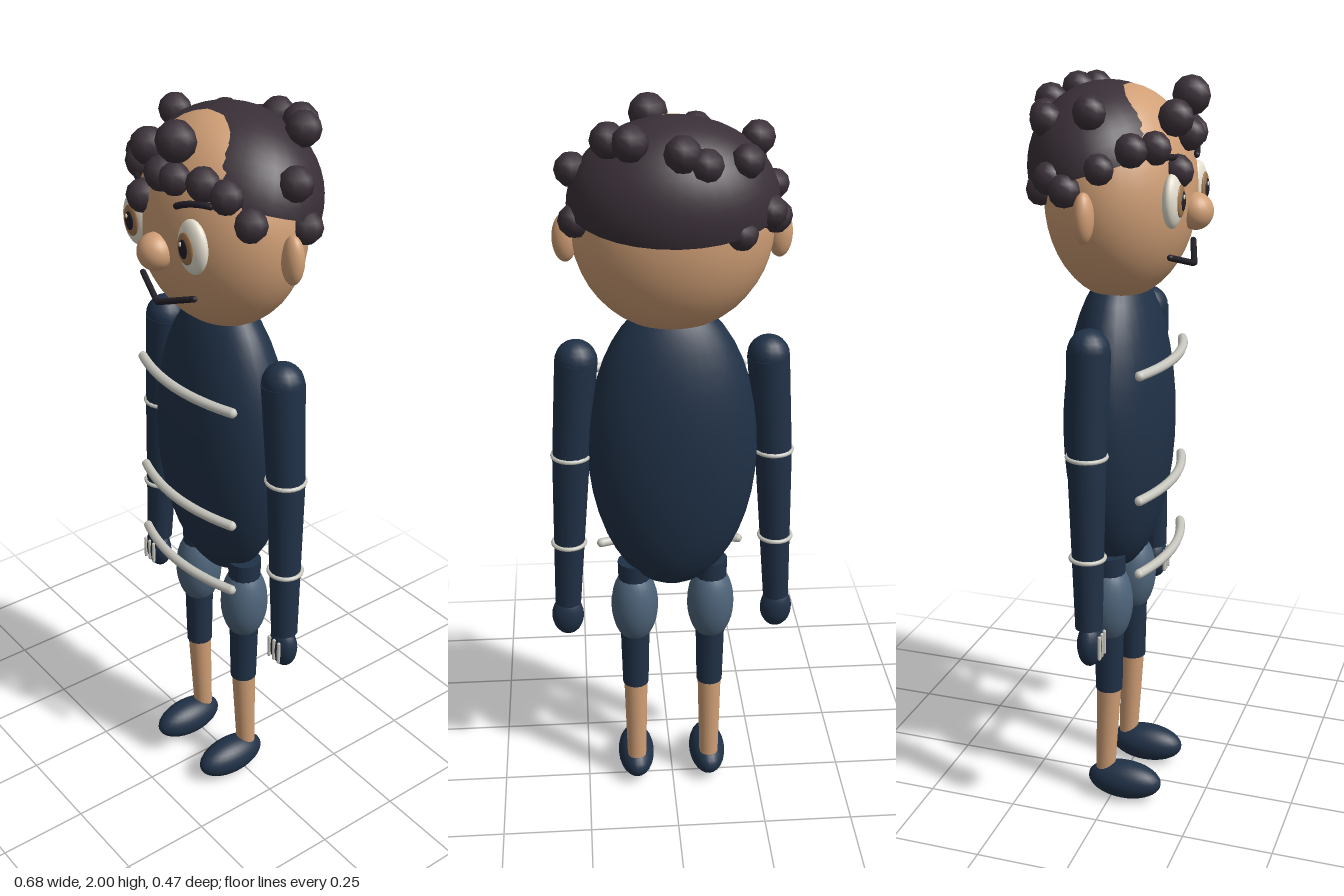
import * as THREE from 'three';

const material = (name, color) => Object.assign(new THREE.MeshStandardMaterial({ color }), { name });
const V = (x, y, z) => new THREE.Vector3(x, y, z);

export function createModel() {
  const root = new THREE.Group();
  root.name = 'curlyHairedFigure';

  const skin = material('skin', 0xd09f76);
  const navy = material('navy cloth', 0x203147);
  const denim = material('blue shorts', 0x4e647a);
  const hair = material('dark hair', 0x3a3038);
  const white = material('pale stripe', 0xc9c8c0);
  const eyeWhite = material('eye white', 0xe6e0d0);
  const iris = material('brown iris', 0xa0764e);
  const dark = material('dark line', 0x231f28);
  hair.side = THREE.DoubleSide;

  const add = (name, geometry, mat, parent = root) => {
    const mesh = new THREE.Mesh(geometry, mat);
    mesh.name = name;
    parent.add(mesh);
    return mesh;
  };
  const ball = (name, mat, [x, y, z], [rx, ry, rz], ws = 24, hs = 16) => {
    const mesh = add(name, new THREE.SphereGeometry(1, ws, hs), mat);
    mesh.scale.set(rx, ry, rz);
    mesh.position.set(x, y, z);
    return mesh;
  };
  // Tapered limb running from a to b
  const limb = (name, mat, a, b, ra, rb) => {
    const mesh = add(name, new THREE.CylinderGeometry(rb, ra, a.distanceTo(b), 16), mat);
    mesh.position.copy(a).lerp(b, 0.5);
    mesh.quaternion.setFromUnitVectors(V(0, 1, 0), b.clone().sub(a).normalize());
    return mesh;
  };
  // Straight-segment or curved cord with rounded ends
  const cord = (name, mat, curve, r) => {
    add(name, new THREE.TubeGeometry(curve, 20, r, 8), mat);
    for (const t of [0, 1]) ball(name + 'End', mat, curve.getPoint(t).toArray(), [r, r, r], 8, 6);
  };

  // Torso and the three curved chest stripes
  ball('torso', navy, [0, 1.1, -0.01], [0.227, 0.42, 0.14], 32, 20);
  for (const y of [1.285, 0.95, 0.745]) {
    cord('chestStripe', white, new THREE.QuadraticBezierCurve3(
      V(-0.195, y, 0.105), V(0, y, 0.175), V(0.195, y, 0.105)), 0.013);
  }

  // Head, nose and mouth
  ball('head', skin, [0, 1.708, -0.005], [0.255, 0.27, 0.19], 32, 22);
  ball('nose', skin, [0, 1.67, 0.19], [0.047, 0.047, 0.045]);
  const mouth = new THREE.CurvePath();
  mouth.add(new THREE.LineCurve3(V(-0.108, 1.57, 0.155), V(0, 1.537, 0.188)));
  mouth.add(new THREE.LineCurve3(V(0, 1.537, 0.188), V(0.108, 1.575, 0.155)));
  cord('mouth', dark, mouth, 0.008);

  for (const s of [-1, 1]) {
    // Ears, eyes and brows
    ball('ear', skin, [s * 0.268, 1.685, -0.015], [0.032, 0.062, 0.026]);
    ball('eyeWhite', eyeWhite, [s * 0.115, 1.712, 0.162], [0.052, 0.068, 0.024]);
    ball('iris', iris, [s * 0.113, 1.712, 0.182], [0.03, 0.04, 0.008]);
    ball('pupil', dark, [s * 0.112, 1.712, 0.188], [0.017, 0.024, 0.005]);
    ball('eyeGlint', eyeWhite, [s * 0.112 - 0.006, 1.723, 0.192], [0.005, 0.006, 0.003], 8, 6);
    cord('brow', dark, new THREE.QuadraticBezierCurve3(
      V(s * 0.065, 1.8, 0.172), V(s * 0.11, 1.822, 0.165), V(s * 0.155, 1.818, 0.14)), 0.008);

    // Arms
    const shoulder = V(s * 0.25, 1.355, -0.01);
    const elbow = V(s * 0.272, 1.07, -0.01);
    const wrist = V(s * 0.294, 0.62, 0);
    ball('shoulder', navy, shoulder.toArray(), [0.056, 0.056, 0.054], 16, 12);
    limb('upperArm', navy, shoulder, elbow, 0.056, 0.05);
    ball('elbow', navy, elbow.toArray(), [0.05, 0.05, 0.05], 16, 12);
    limb('forearm', navy, elbow, wrist, 0.05, 0.036);

    // Sleeve rings
    for (const [x, y, z, r] of [[0.271, 1.085, -0.01, 0.05], [0.285, 0.815, -0.005, 0.044]]) {
      const ring = add('sleeveRing', new THREE.TorusGeometry(r, 0.006, 8, 24), white);
      ring.rotation.x = Math.PI / 2;
      ring.position.set(s * x, y, z);
    }

    // Hands with pale finger lines
    ball('hand', navy, [s * 0.296, 0.575, 0.004], [0.045, 0.062, 0.034], 16, 12);
    for (const x of [0.276, 0.296, 0.316]) {
      cord('fingerLine', white, new THREE.LineCurve3(
        V(s * x, 0.605, 0.036), V(s * x, 0.545, 0.036)), 0.005);
    }

    // Legs
    limb('upperLeg', navy, V(s * 0.107, 0.75, -0.008), V(s * 0.107, 0.345, -0.008), 0.046, 0.037);
    ball('shortsLeg', denim, [s * 0.107, 0.61, -0.008], [0.066, 0.12, 0.066]);
    limb('shin', skin, V(s * 0.107, 0.36, -0.008), V(s * 0.107, 0.07, -0.02), 0.034, 0.027);
    ball('shoe', navy, [s * 0.107, 0.057, 0.037], [0.053, 0.054, 0.107]);
  }

  // Hair cap, tipped down at the back
  const cap = add('hairCap', new THREE.SphereGeometry(1, 32, 12, 0, Math.PI * 2, 0, Math.PI / 2), hair);
  cap.scale.set(0.262, 0.21, 0.2);
  cap.position.set(0, 1.775, -0.037);
  cap.rotation.x = -0.3;

  // Curls: x, y, z, radius
  const curls = [
    [-0.01, 1.93, -0.19, 0.045], [-0.066, 1.9, -0.185, 0.042], [-0.167, 1.9, -0.145, 0.042],
    [0.11, 1.95, -0.16, 0.045], [0.16, 1.95, -0.127, 0.044], [-0.206, 1.925, -0.02, 0.043],
    [0.246, 1.86, -0.037, 0.043], [-0.255, 1.8, 0.02, 0.038], [-0.204, 1.84, 0.083, 0.042],
    [-0.145, 1.84, 0.125, 0.042], [-0.07, 1.905, 0.155, 0.046], [0, 1.86, 0.168, 0.043],
    [0.05, 1.948, 0.16, 0.05], [0.12, 1.86, 0.135, 0.042], [0.175, 1.84, 0.11, 0.042],
    [0.215, 1.775, 0.07, 0.042], [-0.085, 1.78, 0.165, 0.042], [0.05, 1.86, 0.165, 0.04],
    [-0.228, 1.77, -0.115, 0.042], [-0.248, 1.745, -0.07, 0.042], [0.242, 1.745, -0.075, 0.042],
    [-0.155, 1.73, -0.165, 0.04],
  ];
  for (const [x, y, z, r] of curls) ball('curl', hair, [x, y, z], [r, r, r], 8, 6);

  return root;
}
